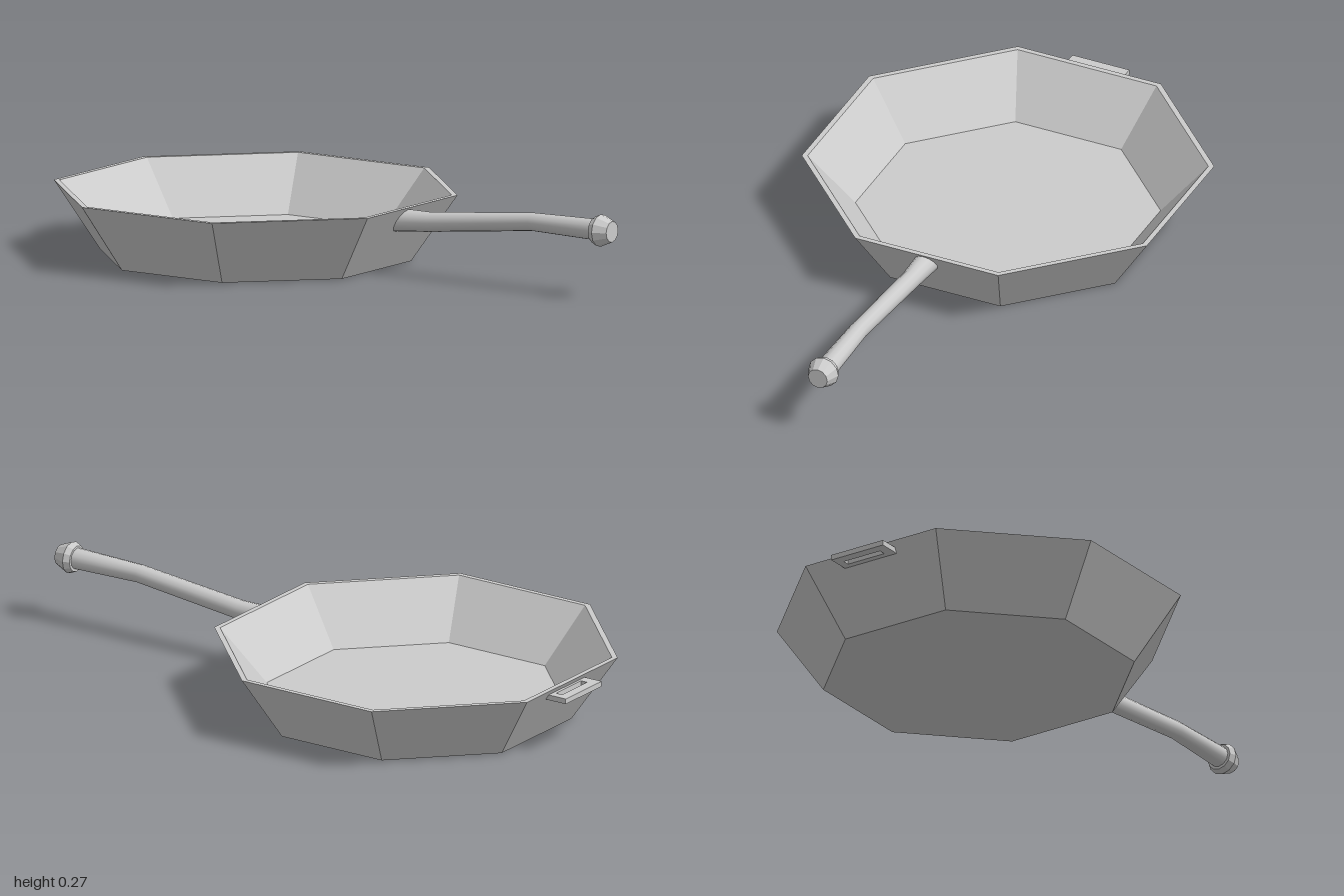
import * as THREE from 'three';

const flat = new THREE.MeshStandardMaterial({ color: 0xcccccc, flatShading: true });
const smooth = new THREE.MeshStandardMaterial({ color: 0xcccccc });
const PAN_X = -0.355, HANDLE_Z = 0.014;

function addMesh(group, name, geometry, material) {
  const mesh = new THREE.Mesh(geometry, material);
  mesh.name = name;
  group.add(mesh);
  return mesh;
}

// Skin rings of equal size, each [x, y, radius, lean of the ring plane]
function sweepX(sections, sides, capped) {
  const pos = [], index = [];
  for (const [x, y, r, lean] of sections) {
    for (let i = 0; i < sides; i++) {
      const a = (i / sides) * Math.PI * 2;
      const dy = r * Math.cos(a);
      pos.push(x + lean * dy, y + dy, r * Math.sin(a));
    }
  }
  for (let s = 0; s < sections.length - 1; s++) {
    for (let i = 0; i < sides; i++) {
      const a = s * sides + i, b = s * sides + (i + 1) % sides;
      index.push(a, b, a + sides, b, b + sides, a + sides);
    }
  }
  const last = (sections.length - 1) * sides;
  for (let i = 1; capped && i < sides - 1; i++) {
    index.push(0, i + 1, i, last, last + i, last + i + 1);
  }
  const geometry = new THREE.BufferGeometry();
  geometry.setAttribute('position', new THREE.Float32BufferAttribute(pos, 3));
  geometry.setIndex(index);
  geometry.computeVertexNormals();
  return geometry;
}

export function createModel() {
  const group = new THREE.Group();
  group.name = 'fryingPan';

  // Octagonal bowl; profile distances are measured to the flat sides
  const corner = 1 / Math.cos(Math.PI / 8);
  const profile = [[0, 0], [0.456, 0], [0.592, 0.213], [0.575, 0.213], [0.438, 0.043], [0, 0.043]]
    .map(([r, y]) => new THREE.Vector2(r * corner, y));
  const bowl = addMesh(group, 'bowl', new THREE.LatheGeometry(profile, 8, Math.PI / 8), flat);
  bowl.position.x = PAN_X;

  // Bent handle, its root leaning with the bowl wall and its end inside the knob
  const handle = addMesh(group, 'handle', sweepX([
    [0.2, 0.169, 0.038, 0.634],
    [0.32, 0.176, 0.031, -0.05],
    [0.7, 0.216, 0.029, -0.05],
    [0.95, 0.216, 0.034, 0],
  ], 12, false), smooth);
  handle.position.z = HANDLE_Z;

  // Knob at the handle's end
  const knob = addMesh(group, 'handleKnob', sweepX([
    [0.937, 0.215, 0.042, 0],
    [0.957, 0.215, 0.051, 0],
    [1, 0.215, 0.033, 0],
  ], 12, true), flat);
  knob.position.z = HANDLE_Z;

  // Flat helper loop opposite the handle
  const rect = (Type, x0, x1, z0, z1) => new Type([[x0, z0], [x1, z0], [x1, z1], [x0, z1]]
    .map(([x, z]) => new THREE.Vector2(x, z)));
  const outline = rect(THREE.Shape, -1, -0.92, -0.112, 0.083);
  outline.holes.push(rect(THREE.Path, -0.968, -0.945, -0.086, 0.05));
  const loop = new THREE.ExtrudeGeometry(outline, { depth: 0.017, bevelEnabled: false });
  loop.rotateX(Math.PI / 2);
  addMesh(group, 'helperLoop', loop, flat).position.y = 0.195;

  return group;
}
